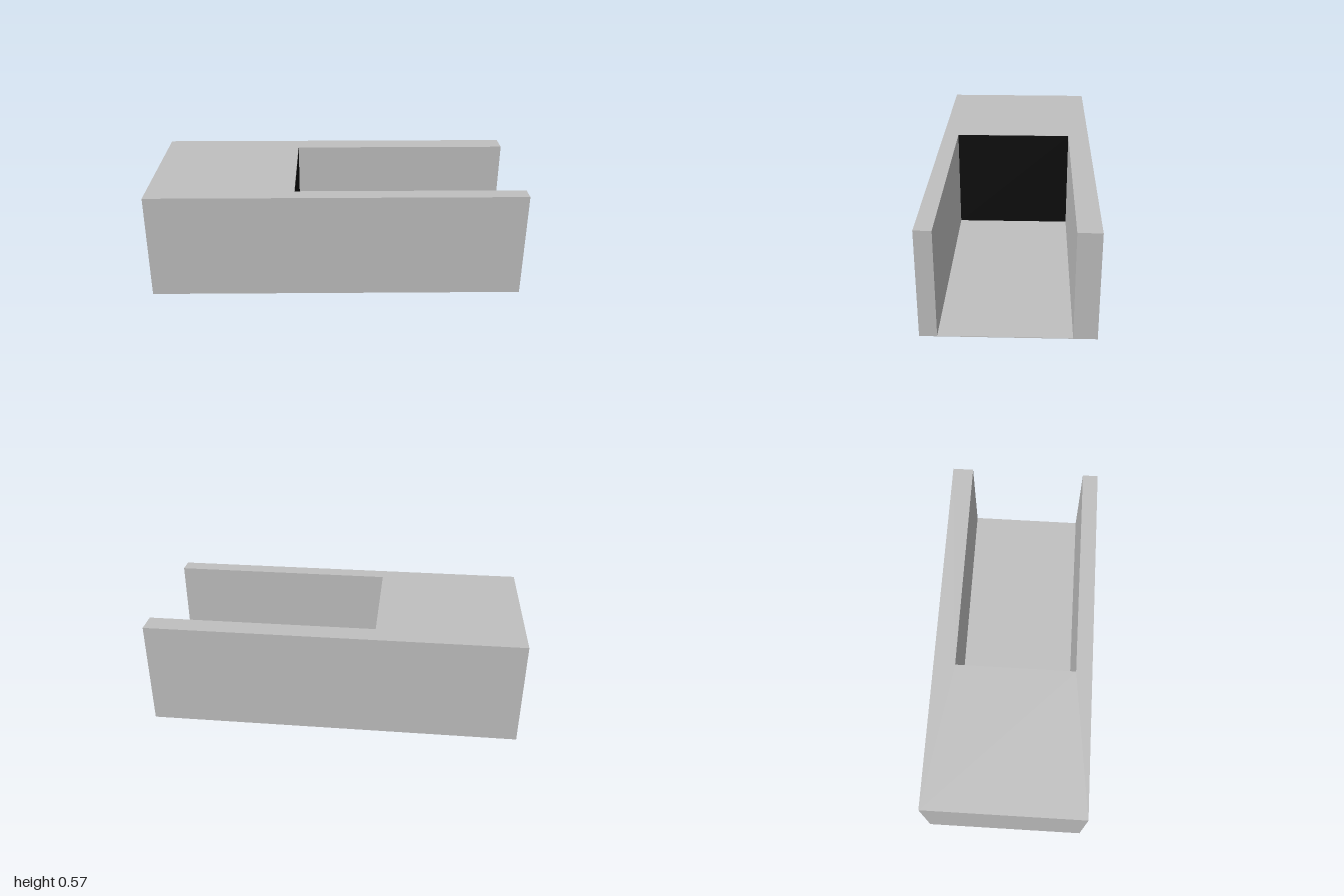
import * as THREE from 'three';

const HEIGHT = 0.57, HALF_X = 1, HALF_Z = 0.427;
const BAY_X = -0.22, BAY_FRONT = 0.34, BAY_BACK = -0.31, FLOOR = 0.003;

export function createModel() {
  const model = new THREE.Group();
  model.name = 'openEndedBlock';
  const grey = new THREE.MeshStandardMaterial({ name: 'lightGrey', color: 0xbfbfbf });
  const black = new THREE.MeshStandardMaterial({ name: 'black', color: 0x0d0d0d });

  const add = (name, geometry, material, x = 0, y = 0, z = 0) => {
    const mesh = new THREE.Mesh(geometry, material);
    mesh.name = name;
    mesh.position.set(x, y, z);
    model.add(mesh);
    return mesh;
  };

  // Solid block with two side walls: a U-shaped plan (x, -z) extruded upward
  const plan = new THREE.Shape([
    [-HALF_X, -HALF_Z], [HALF_X, -HALF_Z], [HALF_X, -BAY_FRONT], [BAY_X, -BAY_FRONT],
    [BAY_X, -BAY_BACK], [HALF_X, -BAY_BACK], [HALF_X, HALF_Z], [-HALF_X, HALF_Z],
  ].map(([x, y]) => new THREE.Vector2(x, y)));
  const body = new THREE.ExtrudeGeometry(plan, { depth: HEIGHT, bevelEnabled: false });
  body.rotateX(-Math.PI / 2);
  add('bodyAndWalls', body, grey);

  // Thin floor of the open bay
  const bayWidth = BAY_FRONT - BAY_BACK, bayZ = (BAY_FRONT + BAY_BACK) / 2;
  add('bayFloor', new THREE.BoxGeometry(HALF_X - BAY_X, FLOOR, bayWidth), grey,
    (HALF_X + BAY_X) / 2, FLOOR / 2, bayZ);

  // Black panel closing the inner end of the bay
  const panel = new THREE.PlaneGeometry(bayWidth, HEIGHT - FLOOR).rotateY(Math.PI / 2);
  add('bayEndPanel', panel, black, BAY_X + 0.002, (HEIGHT + FLOOR) / 2, bayZ);

  return model;
}
